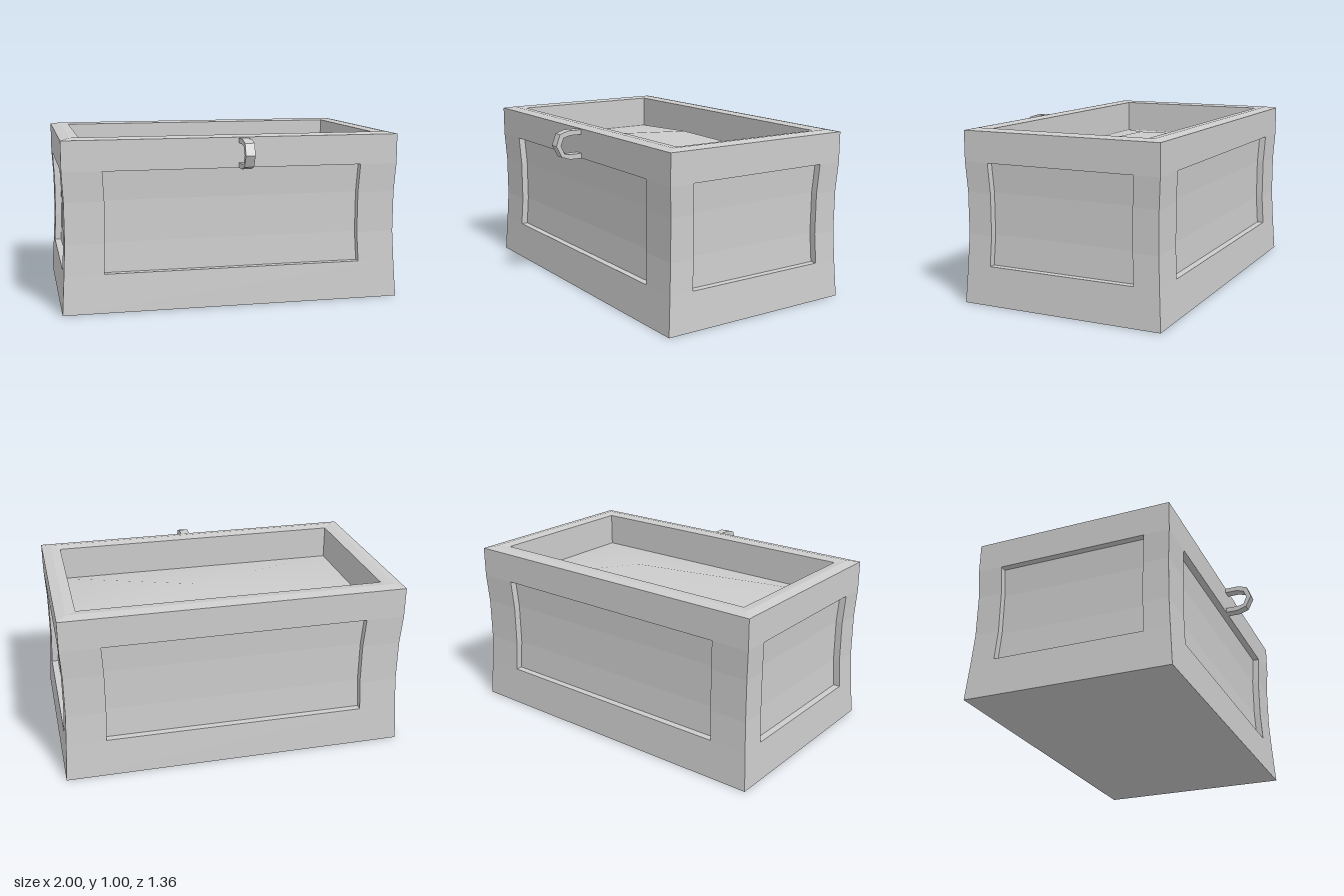
import * as THREE from 'three';

const HALF_W = 1, HALF_D = 0.605, CZ = -0.075, DEPTH = 0.04;

// Wall rows: [height, inset of the waisted wall]
const ROWS = [[0, 0], [0.225, 0.014], [0.4, 0.023], [0.64, 0.023], [0.81, 0.014], [0.985, 0.014]];

function material() {
  return new THREE.MeshStandardMaterial({ color: 0xcccccc });
}

// Collects counter-clockwise quads of [x, y, z] corners into a faceted mesh
function quadMesh(name, quads) {
  const pos = [];
  for (const [a, b, c, d] of quads) pos.push(...a, ...b, ...c, ...a, ...c, ...d);
  const geo = new THREE.BufferGeometry();
  geo.setAttribute('position', new THREE.Float32BufferAttribute(pos, 3));
  geo.computeVertexNormals();
  const mesh = new THREE.Mesh(geo, material());
  mesh.name = name;
  return mesh;
}

// One waisted wall with a recessed panel; place(u, y, out) maps to model space
function wall(name, halfWidth, out, panel, place) {
  const quads = [];
  const point = (row, side, kind) => {
    const [y, inset] = ROWS[row];
    const u = side * (kind === 'edge' ? halfWidth - inset : panel + 0.014 - inset);
    return place(u, y, out - inset - (kind === 'sunk' ? DEPTH : 0));
  };
  const last = ROWS.length - 2;
  for (let r = 0; r <= last; r++) {
    const P = (up, side, kind) => point(r + up, side, kind);
    const strip = (s0, k0, s1, k1) =>
      quads.push([P(0, s0, k0), P(0, s1, k1), P(1, s1, k1), P(1, s0, k0)]);
    if (r === 0 || r === last) {
      strip(-1, 'edge', 1, 'edge');
      continue;
    }
    strip(-1, 'edge', -1, 'rim');
    strip(-1, 'rim', -1, 'sunk');
    strip(-1, 'sunk', 1, 'sunk');
    strip(1, 'sunk', 1, 'rim');
    strip(1, 'rim', 1, 'edge');
  }
  // Lower and upper reveals of the panel
  quads.push([point(1, -1, 'rim'), point(1, 1, 'rim'), point(1, 1, 'sunk'), point(1, -1, 'sunk')]);
  quads.push([point(last, -1, 'sunk'), point(last, 1, 'sunk'), point(last, 1, 'rim'), point(last, -1, 'rim')]);
  return quadMesh(name, quads);
}

// Rectangle corners, counter-clockwise seen from above
function ring(hw, hd, y) {
  return [[-1, 1], [1, 1], [1, -1], [-1, -1]].map(([x, z]) => [x * hw, y, CZ + z * hd]);
}

function bridge(a, b) {
  return a.map((p, i) => [p, a[(i + 1) % 4], b[(i + 1) % 4], b[i]]);
}

export function createModel() {
  const model = new THREE.Group();
  model.name = 'chest';

  // Four panelled walls
  model.add(
    wall('frontWall', HALF_W, HALF_D, 0.76, (u, y, o) => [u, y, CZ + o]),
    wall('backWall', HALF_W, HALF_D, 0.76, (u, y, o) => [-u, y, CZ - o]),
    wall('leftWall', HALF_D, HALF_W, 0.443, (u, y, o) => [o, y, CZ - u]),
    wall('rightWall', HALF_D, HALF_W, 0.443, (u, y, o) => [-o, y, CZ + u])
  );

  // Underside
  model.add(quadMesh('base', [ring(HALF_W, HALF_D, 0).reverse()]));

  // Softly raised rim and the inner walls
  const outer = ring(HALF_W - 0.014, HALF_D - 0.014, 0.985);
  const crest = ring(0.93, 0.535, 0.996);
  const lip = ring(0.875, 0.475, 0.988);
  const foot = ring(0.875, 0.475, 0.79);
  model.add(quadMesh('rim', [...bridge(outer, crest), ...bridge(crest, lip)]));
  model.add(quadMesh('innerWalls', bridge(lip, foot)));

  // Heaped contents: a smooth mound with its peak off centre
  const heap = new THREE.BufferGeometry();
  heap.setAttribute('position', new THREE.Float32BufferAttribute([...foot.flat(), 0.15, 0.92, -0.17], 3));
  heap.setIndex([0, 1, 4, 1, 2, 4, 2, 3, 4, 3, 0, 4]);
  heap.computeVertexNormals();
  const contents = new THREE.Mesh(heap, material());
  contents.name = 'contents';
  model.add(contents);

  // Latch loop, drawn in the z-y plane and extruded across x
  const profile = [
    [0.5, 0.98], [0.6, 0.98], [0.655, 0.963], [0.68, 0.895], [0.645, 0.828], [0.59, 0.81], [0.5, 0.81],
    [0.5, 0.84], [0.595, 0.84], [0.628, 0.847], [0.65, 0.895], [0.632, 0.94], [0.588, 0.952], [0.5, 0.952]
  ].map(([z, y]) => new THREE.Vector2(z, y));
  const loop = new THREE.ExtrudeGeometry(new THREE.Shape(profile), { depth: 0.055, bevelEnabled: false });
  loop.rotateY(-Math.PI / 2).translate(0.075, 0, 0);
  const latch = new THREE.Mesh(loop, material());
  latch.name = 'latch';
  model.add(latch);

  return model;
}
